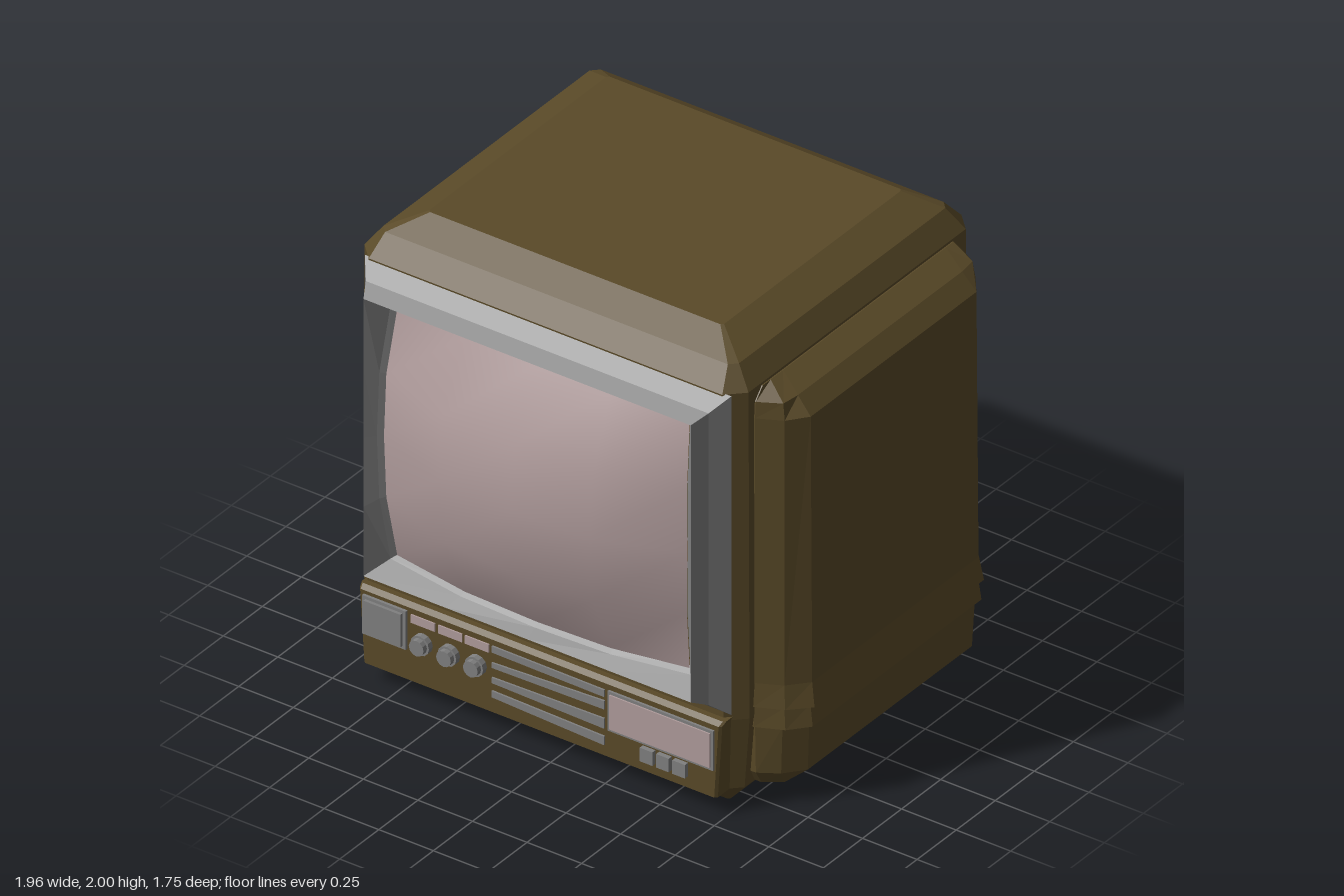
import * as THREE from 'three';

const paint = (color, extra = {}) => new THREE.MeshStandardMaterial({ color, flatShading: true, ...extra });
const brown = paint(0x5a4a28);
const grey = paint(0x808080, { side: THREE.DoubleSide });
const pink = paint(0xb09c9c);
const glass = paint(0xb09c9c, { flatShading: false, side: THREE.DoubleSide });

const CX = -0.09, CY = 1.137; // centre of the screen
const PANEL = 0.695;          // front plane of the control panel

// Skin a list of equal-length rings, optionally closing both ends.
function loft(rings, capped) {
  const n = rings[0].length, pos = rings.flat(2), idx = [];
  for (let r = 0; r < rings.length - 1; r++)
    for (let i = 0; i < n; i++) {
      const a = r * n + i, b = r * n + (i + 1) % n;
      idx.push(a, b, b + n, a, b + n, a + n);
    }
  if (capped) {
    const top = (rings.length - 1) * n;
    for (let i = 1; i < n - 1; i++) idx.push(0, i + 1, i, top, top + i, top + i + 1);
  }
  const g = new THREE.BufferGeometry();
  g.setAttribute('position', new THREE.Float32BufferAttribute(pos, 3));
  g.setIndex(idx);
  const flat = g.toNonIndexed();
  flat.computeVertexNormals();
  return flat;
}

// Rectangle with cut corners at height y, counter-clockwise from above.
const bodyRing = ([y, x0, x1, z0, z1, c]) => [
  [x0 + c, y, z1], [x1 - c, y, z1], [x1, y, z1 - c], [x1, y, z0 + c],
  [x1 - c, y, z0], [x0 + c, y, z0], [x0, y, z0 + c], [x0, y, z1 - c],
];

// Section of the side housing: bevelled towards +x.
const sideRing = ([y, h, x1, x2]) => {
  const front = [[0.7, h], [0.79, h], [x1, h - 0.05], [x2, h - 0.13]];
  const back = front.map(([x, z]) => [x, -z]).reverse();
  return [...front, ...back].map(([x, z]) => [x, y, z - 0.115]);
};

// Bulging screen surface over u, v in -1..1.
const screenZ = (u, v) => {
  const a = Math.abs(u) ** 3, b = Math.abs(v) ** 3;
  return 0.875 - 0.155 * a - 0.165 * b + 0.115 * a * b;
};
const screenXY = (u, v, hw, hh, bulge) => [
  CX + u * (hw + bulge * (1 - v * v)), CY + v * (hh + bulge * (1 - u * u)),
];

// Sixteen-point frame ring, counter-clockwise from the front.
function frameRing(hw, hh, bulge, z) {
  const ring = [];
  for (let s = 0; s < 4; s++)
    for (let k = 0; k < 4; k++) {
      const t = -1 + k / 2;
      const [u, v] = [[t, -1], [1, t], [-t, 1], [-1, -t]][s];
      ring.push([...screenXY(u, v, hw, hh, bulge), typeof z === 'function' ? z(u, v) : z]);
    }
  return ring;
}

export function createModel() {
  const model = new THREE.Group();
  const add = (name, geometry, material) => {
    const mesh = new THREE.Mesh(geometry, material);
    mesh.name = name;
    model.add(mesh);
    return mesh;
  };
  // Block given by its front outline and its z range.
  const block = (name, x0, x1, y0, y1, z0, z1, material) =>
    add(name, new THREE.BoxGeometry(x1 - x0, y1 - y0, z1 - z0), material)
      .position.set((x0 + x1) / 2, (y0 + y1) / 2, (z0 + z1) / 2);

  // Cabinet
  add('cabinet', loft([
    [0, -0.88, 0.69, -0.8, 0.57, 0.01],
    [0.08, -0.95, 0.76, -0.88, 0.64, 0.07],
    [0.4, -0.98, 0.79, -0.88, 0.65, 0.07],
    [1.84, -0.975, 0.785, -0.88, 0.65, 0.07],
    [1.93, -0.91, 0.72, -0.8, 0.58, 0.03],
    [2, -0.77, 0.58, -0.69, 0.46, 0.01],
  ].map(bodyRing), true), brown);

  // Housing on the side, with two flared ridges
  add('sideHousing', loft([
    [0.08, 0.62, 0.86, 0.87],
    [0.14, 0.655, 0.87, 0.935],
    [0.35, 0.66, 0.88, 0.945],
    [0.35, 0.67, 0.9, 0.968],
    [0.44, 0.662, 0.89, 0.952],
    [0.44, 0.672, 0.9, 0.978],
    [0.54, 0.662, 0.89, 0.96],
    [1.71, 0.66, 0.89, 0.952],
    [1.78, 0.655, 0.88, 0.89],
    [1.83, 0.61, 0.79, 0.79],
  ].map(sideRing), true), brown);

  // Screen surround: out to a sharp rim, then in to the glass
  add('screenFrame', loft([
    frameRing(0.84, 0.705, 0, 0.64),
    frameRing(0.785, 0.645, 0, 0.71),
    frameRing(0.75, 0.613, 0, 0.775),
    frameRing(0.69, 0.56, 0.027, (u, v) => screenZ(u, v) + 0.015),
    frameRing(0.665, 0.54, 0.025, (u, v) => screenZ(u, v) - 0.01),
  ], false), grey);

  // Screen glass
  const screen = new THREE.PlaneGeometry(2, 2, 4, 4);
  const p = screen.attributes.position;
  for (let i = 0; i < p.count; i++) {
    const u = p.getX(i), v = p.getY(i);
    p.setXYZ(i, ...screenXY(u, v, 0.67, 0.545, 0.025), screenZ(u, v));
  }
  screen.computeVertexNormals();
  add('screen', screen, glass);

  // Control panel, slightly wider at the top
  add('controlPanel', loft([
    bodyRing([0.08, -0.9, 0.72, 0.5, PANEL, 0.01]),
    bodyRing([0.4, -0.92, 0.74, 0.5, PANEL, 0.01]),
    bodyRing([0.415, -0.925, 0.745, 0.5, 0.675, 0.01]),
  ], true), brown);

  // Large push button
  block('powerButtonBase', -0.895, -0.695, 0.215, 0.385, 0.65, PANEL + 0.012, grey);
  block('powerButton', -0.88, -0.71, 0.228, 0.372, 0.65, PANEL + 0.025, grey);

  // Knobs and the plates above them
  [-0.622, -0.497, -0.374].forEach((x) => {
    [[0.043, 0.025], [0.034, 0.047]].forEach(([r, depth]) => {
      const knob = add('knob', new THREE.CylinderGeometry(r, r, depth, 12), grey);
      knob.rotation.x = Math.PI / 2;
      knob.position.set(x, 0.267, PANEL + depth / 2);
    });
    block('knobPlate', x - 0.055, x + 0.055, 0.34, 0.376, 0.68, PANEL + 0.006, pink);
  });

  // Speaker slats, given by their left and right y ranges
  [
    [0.348, 0.376, 0.343, 0.373],
    [0.28, 0.302, 0.288, 0.325],
    [0.213, 0.237, 0.203, 0.247],
    [0.15, 0.178, 0.13, 0.168],
  ].forEach(([l0, l1, r0, r1]) => {
    const outline = (z) => [[-0.305, l0, z], [0.21, r0, z], [0.21, r1, z], [-0.305, l1, z]];
    add('speakerSlat', loft([outline(0.68), outline(PANEL + 0.008)], true), grey);
  });

  // Display window with its frame
  block('displayFrame', 0.228, 0.712, 0.203, 0.378, 0.66, PANEL + 0.01, grey);
  block('display', 0.24, 0.7, 0.215, 0.366, 0.66, PANEL + 0.016, pink);

  // Small buttons
  [0.412, 0.487, 0.561].forEach((x) =>
    block('smallButton', x - 0.029, x + 0.029, 0.13, 0.19, 0.67, PANEL + 0.02, grey));

  return model;
}
